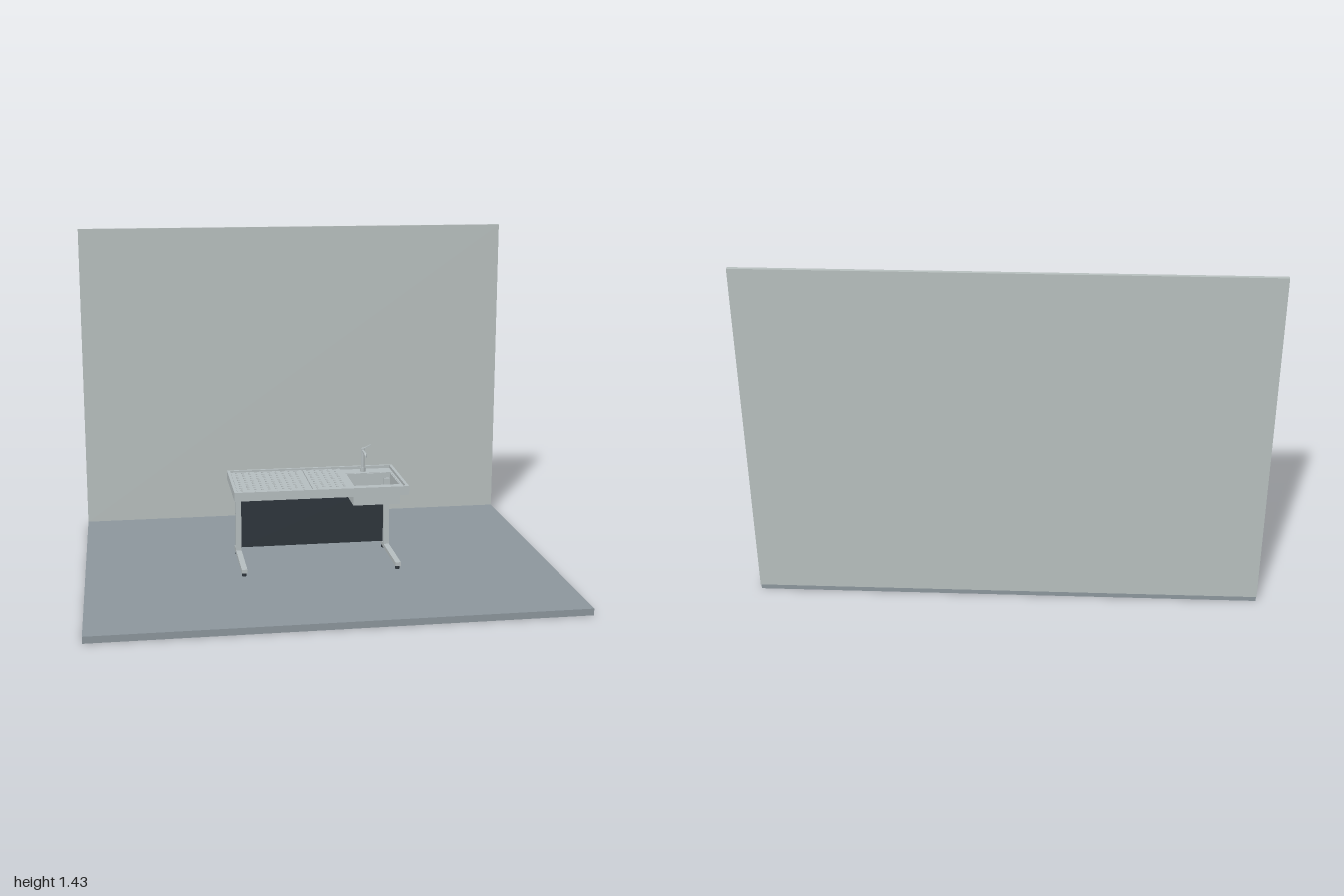
import * as THREE from 'three';

const paint = (name, color) => {
  const m = new THREE.MeshStandardMaterial({ color });
  m.name = name;
  return m;
};

export function createModel() {
  const wallGrey = paint('wall grey', 0xb7bfbe);
  const floorGrey = paint('floor grey', 0x8c969c);
  const steel = paint('steel', 0xb5bdbf);
  const charcoal = paint('charcoal', 0x2d343b);

  const model = new THREE.Group();
  model.name = 'washTableDisplay';

  const add = (name, geo, mat, parent = model) => {
    const mesh = new THREE.Mesh(geo, mat);
    mesh.name = name;
    parent.add(mesh);
    return mesh;
  };
  const group = (name) => {
    const g = new THREE.Group();
    g.name = name;
    model.add(g);
    return g;
  };
  // Box given by its limits on each axis
  const box = (name, [x0, x1], [y0, y1], [z0, z1], mat, parent) => {
    const mesh = add(name, new THREE.BoxGeometry(x1 - x0, y1 - y0, z1 - z0), mat, parent);
    mesh.position.set((x0 + x1) / 2, (y0 + y1) / 2, (z0 + z1) / 2);
    return mesh;
  };
  const cylinder = (name, r, y0, y1, x, z, mat, parent) => {
    const mesh = add(name, new THREE.CylinderGeometry(r, r, y1 - y0, 16), mat, parent);
    mesh.position.set(x, (y0 + y1) / 2, z);
    return mesh;
  };
  // Horizontal slab with holes cut through it
  const trace = (path, [x0, x1], [z0, z1]) => {
    path.moveTo(x0, -z0).lineTo(x0, -z1).lineTo(x1, -z1).lineTo(x1, -z0).closePath();
    return path;
  };
  const slab = (name, xs, [y0, y1], zs, holes, mat, parent) => {
    const shape = trace(new THREE.Shape(), xs, zs);
    shape.holes.push(...holes);
    const geo = new THREE.ExtrudeGeometry(shape, { depth: y1 - y0, bevelEnabled: false, curveSegments: 10 });
    geo.rotateX(-Math.PI / 2).translate(0, y0, 0);
    return add(name, geo, mat, parent);
  };

  // Floor and back wall
  box('floor', [-1, 1], [0, 0.028], [-0.741, 0.752], floorGrey);
  box('backWall', [-1, 1], [0.028, 1.43], [-0.752, -0.737], wallGrey);

  // Table top: raised rim around a deck with the sink opening
  const top = group('tableTop');
  const sinkX = [0.145, 0.349], sinkZ = [-0.099, 0.106];
  const wellX = [-0.36, 0.357], wellZ = [-0.17, 0.175];
  slab('rim', [-0.373, 0.37], [0.365, 0.403], [-0.182, 0.19],
    [trace(new THREE.Path(), wellX, wellZ)], steel, top);
  slab('deck', wellX, [0.365, 0.39], wellZ, [trace(new THREE.Path(), sinkX, sinkZ)], steel, top);

  // Perforated drain panels, ten and five columns of holes
  const pitch = 0.0292;
  const perforated = (name, xs, firstX, columns) => {
    const holes = [];
    for (let c = 0; c < columns; c++) {
      for (let r = 0; r < 11; r++) {
        const hole = new THREE.Path();
        hole.absarc(firstX + c * pitch, -(-0.15 + r * 0.0304), 0.006, 0, Math.PI * 2, true);
        holes.push(hole);
      }
    }
    slab(name, xs, [0.39, 0.396], [-0.166, 0.171], holes, steel, top);
  };
  perforated('largeDrainPanel', [-0.357, -0.043], -0.336, 10);
  perforated('smallDrainPanel', [-0.037, 0.13], -0.336 + 11 * pitch, 5);

  // Sink basin
  const sink = group('sink');
  const t = 0.004;
  slab('basinWalls', sinkX, [0.302, 0.388], sinkZ, [trace(new THREE.Path(),
    [sinkX[0] + t, sinkX[1] - t], [sinkZ[0] + t, sinkZ[1] - t])], steel, sink);
  box('basinBottom', [sinkX[0] + t, sinkX[1] - t], [0.302, 0.307], [sinkZ[0] + t, sinkZ[1] - t], steel, sink);
  const drain = add('drainRing', new THREE.TorusGeometry(0.012, 0.002, 8, 24), steel, sink);
  drain.rotation.x = Math.PI / 2;
  drain.position.set(0.246, 0.308, -0.025);

  // Tap with forward spout and side lever
  const tap = group('tap');
  const tx = 0.228, tz = -0.129;
  cylinder('tapFlange', 0.012, 0.39, 0.409, tx, tz, steel, tap);
  cylinder('tapPost', 0.008, 0.405, 0.496, tx, tz, steel, tap);
  const spout = new THREE.CurvePath();
  const p = (y, z) => new THREE.Vector3(tx, y, z);
  spout.add(new THREE.LineCurve3(p(0.485, tz), p(0.485, -0.072)));
  spout.add(new THREE.QuadraticBezierCurve3(p(0.485, -0.072), p(0.485, -0.061), p(0.474, -0.061)));
  add('spout', new THREE.TubeGeometry(spout, 24, 0.006, 10), steel, tap);
  cylinder('spoutTip', 0.006, 0.472, 0.475, tx, -0.061, steel, tap);
  const lever = box('lever', [-0.005, 0.038], [-0.002, 0.002], [-0.004, 0.004], steel, tap);
  lever.position.set(tx + 0.016, 0.5, tz);
  lever.rotation.z = 0.45;

  // Mirrored legs with long feet and dark levelling pads
  for (const side of [-1, 1]) {
    const leg = group(side < 0 ? 'rightLeg' : 'leftLeg');
    const x = side * 0.331 - 0.002;
    const xs = [x - 0.012, x + 0.012];
    box('column', xs, [0.062, 0.365], [-0.109, -0.083], steel, leg);
    box('foot', xs, [0.045, 0.062], [-0.165, 0.178], steel, leg);
    for (const z of [0.157, -0.145]) {
      cylinder('padStem', 0.006, 0.036, 0.046, x, z, charcoal, leg);
      cylinder('pad', 0.01, 0.028, 0.04, x, z, charcoal, leg);
    }
  }

  // Dark modesty panel between the columns
  box('modestyPanel', [-0.322, 0.318], [0.07, 0.335], [-0.11, -0.104], charcoal);

  return model;
}
